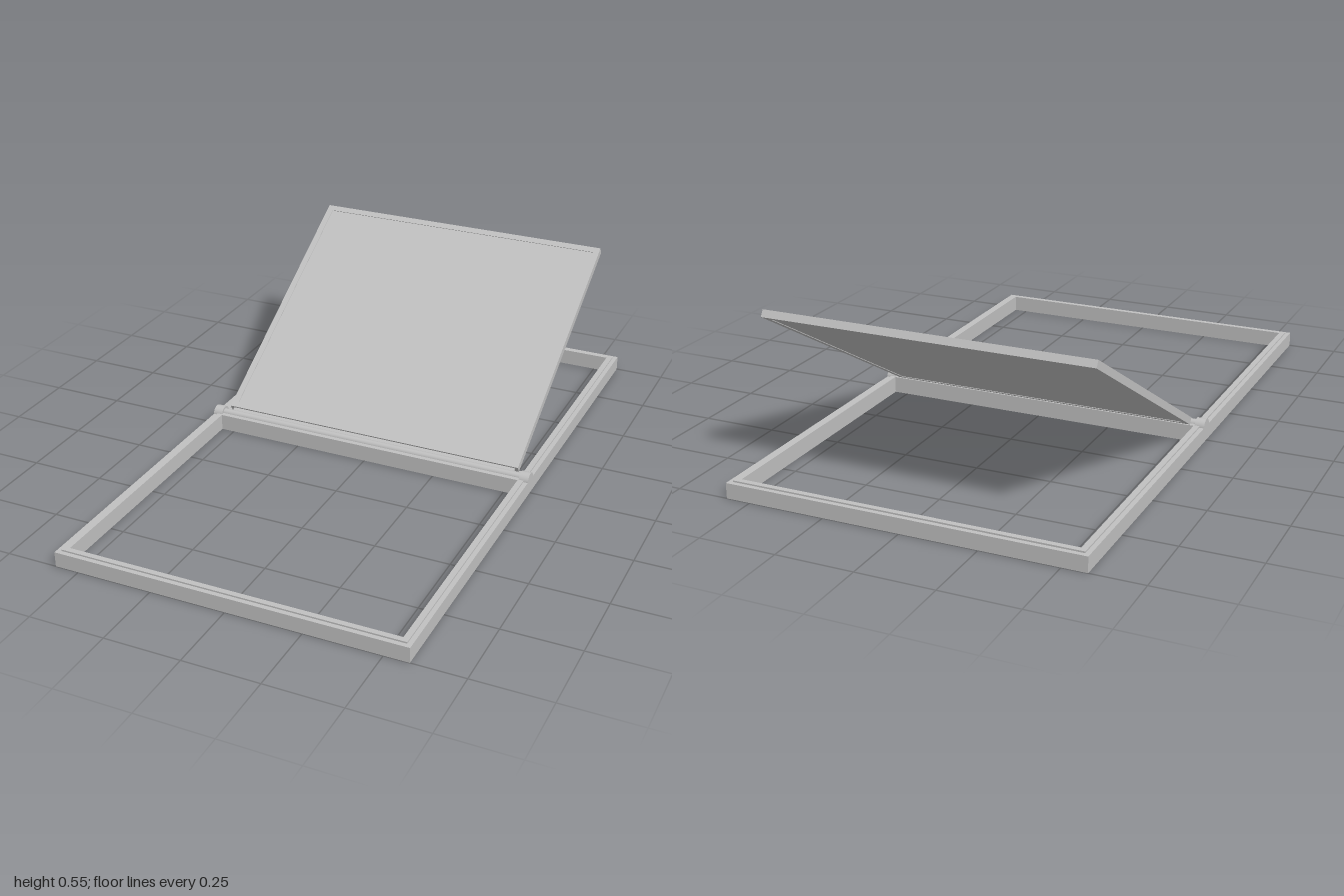
import * as THREE from 'three';

// Adds a rectangular outline, centred on x = 0, to a Shape or Path
function rect(path, halfW, y0, y1) {
  path.moveTo(-halfW, y0);
  path.lineTo(halfW, y0);
  path.lineTo(halfW, y1);
  path.lineTo(-halfW, y1);
  path.closePath();
  return path;
}

// Flat plate with rectangular openings, extruded upwards from y = 0
function openPlate(halfW, y0, y1, openings, height) {
  const shape = rect(new THREE.Shape(), halfW, y0, y1);
  for (const [w, a, b] of openings) shape.holes.push(rect(new THREE.Path(), w, a, b));
  const geo = new THREE.ExtrudeGeometry(shape, { depth: height, bevelEnabled: false });
  return geo.rotateX(-Math.PI / 2);
}

export function createModel() {
  const model = new THREE.Group();
  const grey = new THREE.MeshStandardMaterial({ color: 0xc0c0c0 });
  grey.name = 'light grey';

  const add = (parent, name, geo, x = 0, y = 0, z = 0) => {
    const mesh = new THREE.Mesh(geo, grey);
    mesh.name = name;
    mesh.position.set(x, y, z);
    parent.add(mesh);
    return mesh;
  };

  // Outer frame with a middle crossbar, and a low raised lip around both openings
  const openings = [[0.546, 0.03, 0.967], [0.546, -0.967, -0.03]];
  add(model, 'frame', openPlate(0.58, -1, 1, openings, 0.05));
  add(model, 'frameLip', openPlate(0.565, -0.985, 0.985, openings, 0.005), 0, 0.05);

  // Hinge rod along the crossbar with a round knuckle at each end
  const rod = new THREE.CylinderGeometry(0.014, 0.014, 1.1, 16).rotateZ(Math.PI / 2);
  add(model, 'hingeRod', rod, 0, 0.052, 0);
  const knuckle = new THREE.CylinderGeometry(0.026, 0.026, 0.032, 24).rotateZ(Math.PI / 2);
  for (const side of [-1, 1]) {
    add(model, side > 0 ? 'leftKnuckle' : 'rightKnuckle', knuckle, side * 0.564, 0.047, 0);
  }

  // Tilted panel: a raised rim around a slightly thinner sheet
  const panel = new THREE.Group();
  panel.name = 'panel';
  panel.position.set(0, 0.055, 0);
  panel.rotation.x = Math.PI / 6;
  model.add(panel);
  add(panel, 'panelRim', openPlate(0.532, 0.02, 0.96, [[0.51, 0.042, 0.938]], 0.024), 0, -0.012);
  add(panel, 'panelSheet', new THREE.BoxGeometry(1.022, 0.02, 0.898), 0, 0, -0.49);

  // Narrow leaf joining the panel to the rod
  add(panel, 'hingeLeaf', new THREE.BoxGeometry(1.04, 0.012, 0.03), 0, 0, -0.012);

  return model;
}
